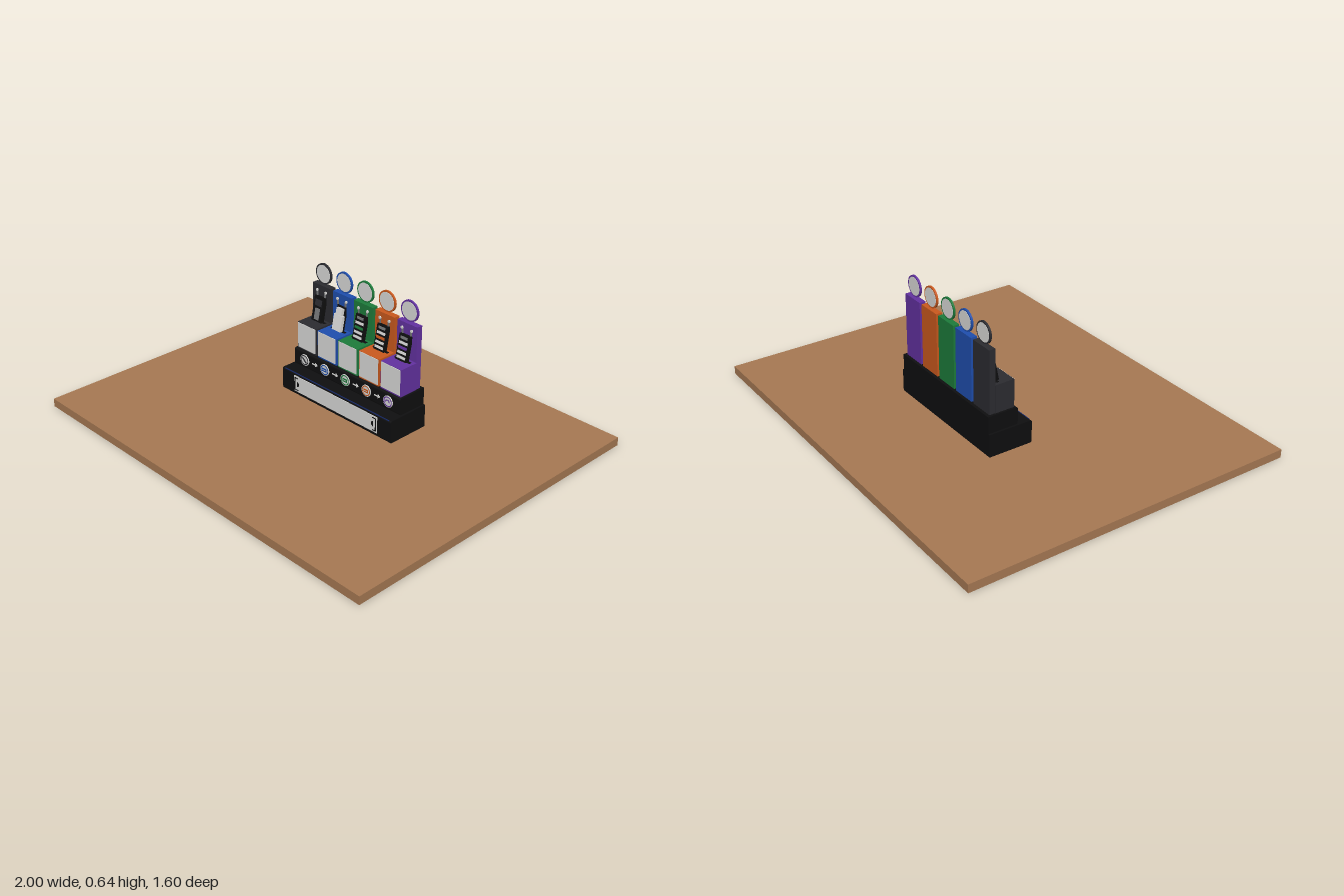
import * as THREE from 'three';

const mat = (name, color) => {
  const m = new THREE.MeshStandardMaterial({ color });
  m.name = name;
  return m;
};

export function createModel() {
  const root = new THREE.Group();
  const wood = mat('wood', 0xa87a54), black = mat('black', 0x0f0f10), white = mat('white', 0xdcdcda);
  const grey = mat('grey', 0x77787a), navy = mat('navy', 0x16296b);
  const unitColours = [mat('charcoal', 0x2c2c31), mat('blue', 0x1f4fb0), mat('green', 0x1d7d3c),
    mat('orange', 0xcc5a1e), mat('purple', 0x6432a2)];

  const add = (parent, name, geo, m, x = 0, y = 0, z = 0) => {
    const mesh = new THREE.Mesh(geo, m);
    mesh.name = name;
    mesh.position.set(x, y, z);
    parent.add(mesh);
    return mesh;
  };
  // box given by its size and centre
  const box = (parent, name, m, w, h, d, x, y, z) =>
    add(parent, name, new THREE.BoxGeometry(w, h, d), m, x, y, z);
  // disc facing the front
  const disc = (parent, name, m, r, d, x, y, z) =>
    add(parent, name, new THREE.CylinderGeometry(r, r, d, 40).rotateX(Math.PI / 2), m, x, y, z);
  // block with rounded front edges, extruded along x
  const tier = (name, w, y0, y1, zBack, zFront, r) => {
    const s = new THREE.Shape();
    s.moveTo(zBack, y0);
    s.lineTo(zFront - r, y0);
    s.quadraticCurveTo(zFront, y0, zFront, y0 + r);
    s.lineTo(zFront, y1 - r);
    s.quadraticCurveTo(zFront, y1, zFront - r, y1);
    s.lineTo(zBack, y1);
    s.closePath();
    const g = new THREE.ExtrudeGeometry(s, { depth: w, bevelEnabled: false, curveSegments: 6 });
    g.translate(0, 0, -w / 2).rotateY(-Math.PI / 2);
    return add(root, name, g, black);
  };

  box(root, 'tableTop', wood, 2, 0.04, 1.6, 0, 0.02, 0);

  // stepped stand
  tier('lowerTier', 0.696, 0.04, 0.15, -0.256, -0.038, 0.01);
  tier('upperTier', 0.676, 0.15, 0.232, -0.256, -0.105, 0.01);
  box(root, 'trimLine', navy, 0.67, 0.004, 0.004, 0, 0.148, -0.042);

  // front plate with an end bracket at each side
  box(root, 'frontPlate', white, 0.534, 0.08, 0.004, 0, 0.099, -0.037);
  for (const s of [-1, 1]) {
    box(root, 'bracketPost', black, 0.005, 0.066, 0.004, s * 0.26, 0.099, -0.035);
    for (const e of [-1, 1]) box(root, 'bracketEnd', black, 0.022, 0.004, 0.004, s * 0.251, 0.099 + e * 0.031, -0.035);
    const half = new THREE.CircleGeometry(0.013, 16, s > 0 ? Math.PI / 2 : -Math.PI / 2, Math.PI);
    add(root, 'bracketTab', half, black, s * 0.246, 0.099, -0.034);
  }

  // arrow between neighbouring badges
  const arrow = new THREE.Shape([[-0.018, -0.003], [0.004, -0.003], [0.004, -0.01], [0.018, 0],
    [0.004, 0.01], [0.004, 0.003], [-0.018, 0.003]].map(p => new THREE.Vector2(...p)));
  for (let i = 0; i < 4; i++) {
    add(root, 'arrow', new THREE.ExtrudeGeometry(arrow, { depth: 0.003, bevelEnabled: false }),
      white, -0.2 + i * 0.1335, 0.193, -0.105);
  }

  // one tilted item per unit, standing on its box
  const buildItem = (unit, i, colour) => {
    const item = new THREE.Group();
    item.name = 'tiltedItem';
    item.position.set(0, 0.366, -0.184);
    item.rotation.x = -0.2;
    unit.add(item);
    if (i === 1) {
      box(item, 'backRest', black, 0.058, 0.118, 0.008, 0, 0.059, -0.008);
      box(item, 'caseBody', white, 0.054, 0.075, 0.016, 0, 0.038, 0.004);
      box(item, 'caseNeck', white, 0.036, 0.032, 0.016, 0, 0.092, 0.004);
      return;
    }
    box(item, 'itemBody', black, 0.062, 0.12, 0.02, 0, 0.06, 0);
    if (i === 0) {
      box(item, 'screen', grey, 0.03, 0.055, 0.004, 0, 0.036, 0.01);
      box(item, 'upperScreen', unitColours[0], 0.042, 0.03, 0.004, 0, 0.09, 0.01);
      return;
    }
    box(item, 'itemHeader', grey, 0.04, 0.012, 0.004, 0, 0.105, 0.01);
    for (let r = 0; r < 4; r++) {
      box(item, 'itemStripe', r === 2 ? colour : white, 0.05, 0.012, 0.004, 0, 0.016 + r * 0.022, 0.01);
    }
  };

  // small picture on each round badge
  const buildGlyph = (unit, i, colour) => {
    const z = -0.0995, y = 0.193;
    if (i === 0) {
      box(unit, 'badgeGlyph', colour, 0.034, 0.007, 0.002, 0, y, z).rotation.z = -0.7;
    } else if (i === 4) {
      add(unit, 'badgeGlyph', new THREE.RingGeometry(0.008, 0.014, 20, 1, 0, Math.PI), colour, 0, y - 0.003, z);
    } else {
      box(unit, 'badgeGlyph', colour, 0.028, 0.016, 0.002, 0, y, z);
      box(unit, 'badgeGlyphLine', white, 0.02, 0.004, 0.002, 0, y + 0.001, z + 0.001);
    }
  };

  // five display units
  unitColours.forEach((colour, i) => {
    const unit = new THREE.Group();
    unit.name = 'displayUnit' + (i + 1);
    unit.position.x = (i - 2) * 0.1335;
    root.add(unit);

    box(unit, 'backPanel', colour, 0.118, 0.305, 0.03, 0, 0.3835, -0.227);
    box(unit, 'frontBox', colour, 0.122, 0.134, 0.096, 0, 0.299, -0.165);
    box(unit, 'boxFrontPlate', white, 0.113, 0.124, 0.004, 0, 0.302, -0.116);
    box(unit, 'boxSlot', black, 0.09, 0.003, 0.014, 0, 0.366, -0.19);
    buildItem(unit, i, colour);

    // hanging clips on the panel
    for (const s of [-1, 1]) {
      disc(unit, 'clipHead', white, 0.007, 0.006, s * 0.028, 0.508, -0.21);
      box(unit, 'clipStem', grey, 0.006, 0.02, 0.006, s * 0.025, 0.493, -0.209);
    }

    // round sign, faced on both sides
    disc(unit, 'signRim', colour, 0.05, 0.009, 0, 0.591, -0.227);
    for (const s of [-1, 1]) disc(unit, 'signFace', white, 0.043, 0.002, 0, 0.591, -0.227 + s * 0.0045);

    // badge on the upper tier
    disc(unit, 'badgeFace', white, 0.028, 0.004, 0, 0.193, -0.103);
    add(unit, 'badgeRing', new THREE.RingGeometry(0.02, 0.025, 32), colour, 0, 0.193, -0.1005);
    buildGlyph(unit, i, colour);
  });

  return root;
}
